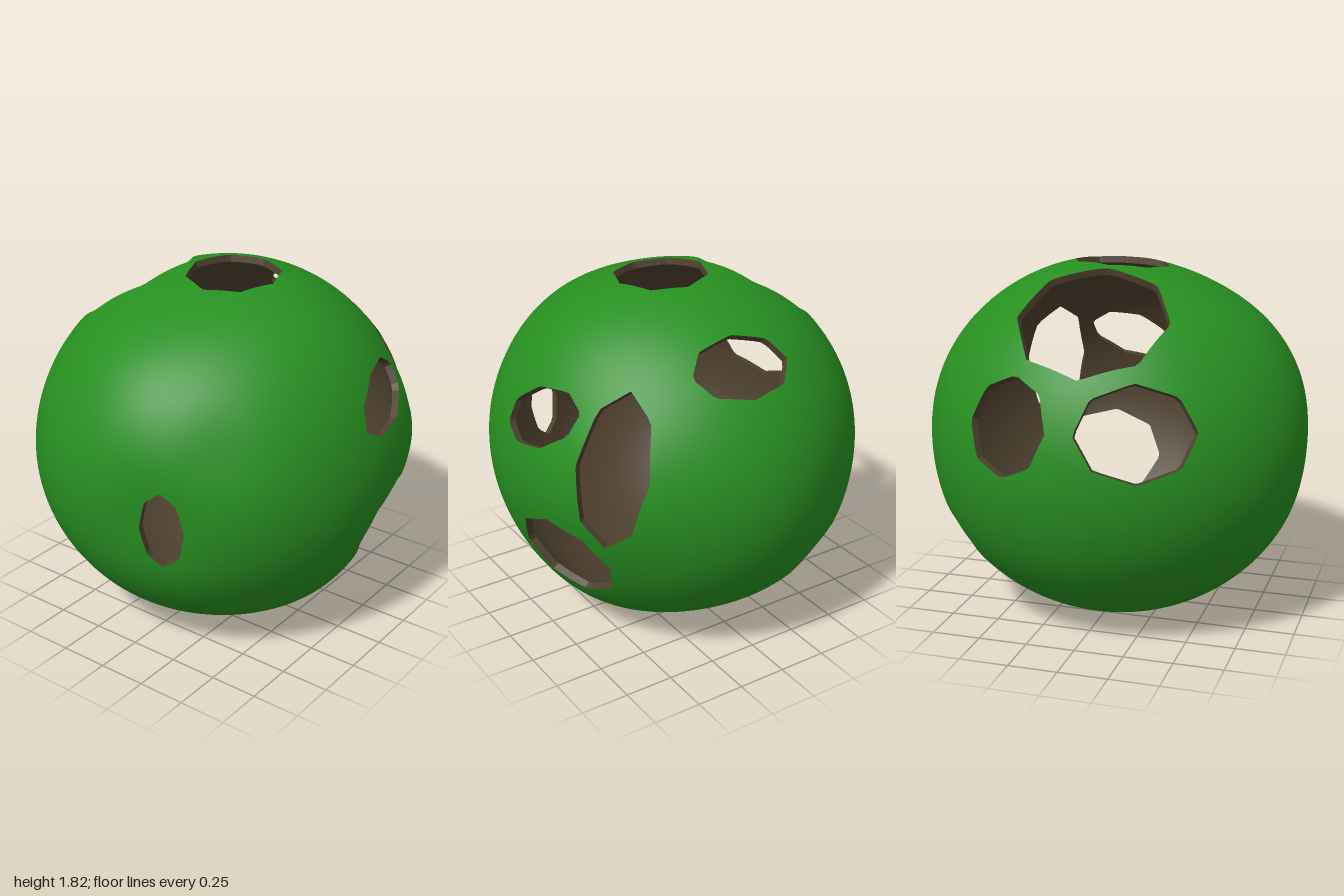
import * as THREE from 'three';
import { mergeVertices } from 'three/addons/utils/BufferGeometryUtils.js';

const V = (x, y, z) => new THREE.Vector3(x, y, z);
const RADII = V(0.938, 0.93, 0.993);
const CENTRE_Y = 0.91;
const INNER = 0.963; // inside surface relative to the outside

// Soft swellings and dents: direction, strength, spread
const lumps = [
  [V(0.7, 0.75, 0), 0.028, 0.09], [V(0.86, 0, -0.5), 0.025, 0.09], [V(-0.5, 0, -0.85), -0.022, 0.09],
  [V(0, -0.8, -0.6), -0.015, 0.09], [V(0, 0.95, 0.35), -0.03, 0.09], [V(0, 0.6, 0.8), 0.022, 0.09],
  [V(0.6, -0.78, 0), 0.025, 0.09], [V(-0.5, 0, 0.85), 0.008, 0.09],
  [V(-0.1, 0.17, 1), 0.005, 0.05], [V(0.03, 0.07, -1), 0.01, 0.05],
  [V(0.74, 0.2, -0.62), 0.018, 0.05],  // swelling around the tall opening
  [V(0.3, -0.08, 0.9), -0.04, 0.04],   // dent around the front opening
  [V(0.82, -0.34, -0.28), -0.03, 0.05], // dent around the lower side opening
  [V(0.05, -0.9, -0.25), -0.03, 0.05], // dent behind the bottom opening
  [V(0.58, 0.32, 0.75), -0.015, 0.02], // small crease on the front
].map(([d, s, w]) => [d.normalize(), s, w]);

// Openings: centre, half width, half height, tilt
const holes = [
  [V(0.30, -0.08, 0.86), 0.11, 0.205, 0],     // front
  [V(-0.82, 0.235, 0.33), 0.285, 0.23, 0],    // side, towards the front
  [V(-0.88, 0.24, -0.30), 0.215, 0.24, 0],    // side, towards the back
  [V(-0.51, 0.68, 0.03), 0.37, 0.365, 0],     // large upper one
  [V(0.07, 0.90, 0), 0.23, 0.25, 0],          // top
  [V(0.04, -0.90, -0.01), 0.26, 0.25, 0],     // bottom
  [V(0.07, 0.64, -0.70), 0.25, 0.165, 0],     // upper back
  [V(0.87, 0.385, -0.17), 0.25, 0.145, 0.38], // opposite side, upper
  [V(0.75, 0.235, -0.63), 0.18, 0.375, -0.1], // opposite side, tall
  [V(0.80, -0.34, -0.28), 0.29, 0.25, 0.15],  // opposite side, lower
  [V(-0.38, -0.46, -0.69), 0.2, 0.175, 0],    // lower back
].map(([c, w, h, tilt]) => {
  const n = c.clone().normalize();
  const up = Math.abs(n.y) > 0.9 ? V(0, 0, 1) : V(0, 1, 0);
  const u = up.cross(n).normalize().applyAxisAngle(n, tilt);
  return { c, n, u, v: n.clone().cross(u), w, h };
});

// Signed distance to the nearest eight-sided opening, negative inside it
function holeField(p) {
  let best = 5;
  for (const { c, n, u, v, w, h } of holes) {
    if (p.dot(n) < 0) continue;
    const d = p.clone().sub(c);
    const a = d.dot(u) / w, b = d.dot(v) / h;
    let m = -Infinity;
    for (let k = 0; k < 8; k++) {
      const t = (k + 0.5) * Math.PI / 4;
      m = Math.max(m, a * Math.cos(t) + b * Math.sin(t));
    }
    best = Math.min(best, m / 0.94 - 1);
  }
  return best;
}

// Closed lumpy ball with smooth normals
function makeBall() {
  let g = new THREE.IcosahedronGeometry(1, 30);
  g.deleteAttribute('uv');
  g.deleteAttribute('normal');
  g = mergeVertices(g, 1e-4);
  const pos = g.attributes.position, p = V(0, 0, 0);
  for (let i = 0; i < pos.count; i++) {
    p.fromBufferAttribute(pos, i).normalize();
    let s = 1;
    for (const [d, k, w] of lumps) s += k * Math.exp(-(1 - p.dot(d)) / w);
    p.multiply(RADII).multiplyScalar(s);
    pos.setXYZ(i, p.x, p.y, p.z);
  }
  g.computeVertexNormals();
  return g;
}

function buildGeometry(points, normals) {
  const flat = (a) => new THREE.Float32BufferAttribute(a.flatMap((p) => [p.x, p.y, p.z]), 3);
  const g = new THREE.BufferGeometry();
  g.setAttribute('position', flat(points));
  if (normals) g.setAttribute('normal', flat(normals));
  else g.computeVertexNormals();
  return g;
}

export function createModel() {
  const green = new THREE.MeshStandardMaterial({ color: 0x279020 });
  green.name = 'green';
  const brown = new THREE.MeshStandardMaterial({ color: 0x4e412f });
  brown.name = 'brown';

  const ball = makeBall();
  const verts = [];
  for (let i = 0; i < ball.attributes.position.count; i++) {
    const p = V(0, 0, 0).fromBufferAttribute(ball.attributes.position, i);
    verts.push({ p, n: V(0, 0, 0).fromBufferAttribute(ball.attributes.normal, i), f: holeField(p) });
  }

  const outer = [], outerN = [], inner = [], innerN = [], rim = [];
  const inward = (p) => p.clone().multiplyScalar(INNER);
  const idx = ball.index.array;
  for (let i = 0; i < idx.length; i += 3) {
    const tri = [verts[idx[i]], verts[idx[i + 1]], verts[idx[i + 2]]];
    const poly = [];
    let leave = null, enter = null;
    // Trim each triangle at the edge of the openings
    for (let k = 0; k < 3; k++) {
      const a = tri[k], b = tri[(k + 1) % 3];
      if (a.f > 0) poly.push(a);
      if ((a.f > 0) !== (b.f > 0)) {
        const t = a.f / (a.f - b.f);
        const cut = { p: a.p.clone().lerp(b.p, t), n: a.n.clone().lerp(b.n, t).normalize() };
        poly.push(cut);
        if (a.f > 0) leave = cut; else enter = cut;
      }
    }
    for (let k = 1; k + 1 < poly.length; k++) {
      const t = [poly[0], poly[k], poly[k + 1]];
      for (const q of t) { outer.push(q.p); outerN.push(q.n); }
      for (const q of t.reverse()) { inner.push(inward(q.p)); innerN.push(q.n.clone().negate()); }
    }
    // Wall joining the outside and inside around an opening
    if (leave && enter) {
      const x = leave.p, y = enter.p, xi = inward(x), yi = inward(y);
      rim.push(xi, yi, y, xi, y, x);
    }
  }

  const group = new THREE.Group();
  group.name = 'hollowBall';
  const add = (name, geometry, material) => {
    const mesh = new THREE.Mesh(geometry, material);
    mesh.name = name;
    mesh.position.y = CENTRE_Y;
    group.add(mesh);
  };
  add('outerShell', buildGeometry(outer, outerN), green);
  add('innerShell', buildGeometry(inner, innerN), brown);
  add('holeRims', buildGeometry(rim), brown);
  return group;
}
